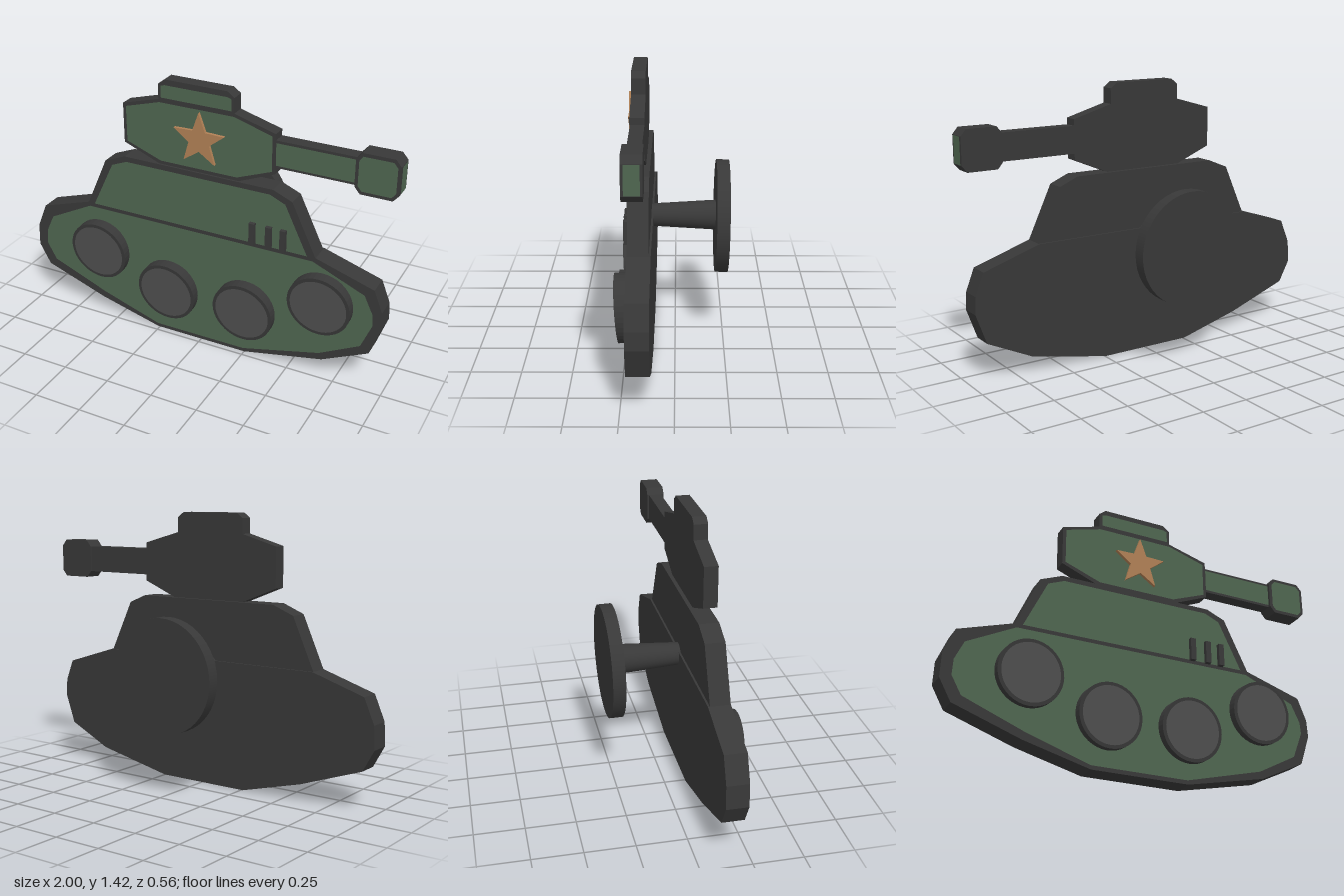
import * as THREE from 'three';

const material = (color) => new THREE.MeshStandardMaterial({ color, flatShading: true });
const green = material(0x4f6650);
const dark = material(0x383838);
const grey = material(0x505050);
const tan = material(0xb08055);

const shapeOf = (points) => new THREE.Shape(points.map(([x, y]) => new THREE.Vector2(x, y)));

export function createModel() {
  const model = new THREE.Group();

  function add(parent, name, geometry, mat, x = 0, y = 0, z = 0) {
    const mesh = new THREE.Mesh(geometry, mat);
    mesh.name = name;
    mesh.position.set(x, y, z);
    parent.add(mesh);
    return mesh;
  }

  // Flat plate between two depths
  function plate(parent, name, points, back, front, mat) {
    const geometry = new THREE.ExtrudeGeometry(shapeOf(points), { depth: front - back, bevelEnabled: false });
    return add(parent, name, geometry, mat, 0, 0, back);
  }

  // Dark plate with a painted panel lying on its front
  function paintedPlate(name, outline, panel, back, front) {
    const group = new THREE.Group();
    group.name = name;
    plate(group, name + 'Body', outline, back, front, dark);
    add(group, name + 'Panel', new THREE.ShapeGeometry(shapeOf(panel)), green, 0, 0, front + 0.002);
    model.add(group);
    return group;
  }

  paintedPlate('lowerHull',
    [[-1, 0.32], [-0.94, 0.21], [-0.6, 0.09], [-0.26, 0], [0.25, 0], [0.675, 0.09], [0.915, 0.205],
      [0.97, 0.36], [0.965, 0.45], [0.92, 0.565], [0.62, 0.66], [-0.66, 0.66], [-0.94, 0.57], [-0.995, 0.44]],
    [[-0.945, 0.34], [-0.895, 0.25], [-0.58, 0.125], [-0.26, 0.02], [0.245, 0.02], [0.66, 0.125], [0.87, 0.235],
      [0.925, 0.37], [0.92, 0.43], [0.875, 0.525], [0.605, 0.64], [-0.65, 0.64], [-0.895, 0.515], [-0.94, 0.42]],
    0.11, 0.22);

  paintedPlate('upperHull',
    [[-0.66, 0.655], [0.62, 0.655], [0.49, 0.93], [0.39, 0.972], [-0.425, 0.972], [-0.54, 0.925]],
    [[-0.62, 0.66], [0.575, 0.66], [0.455, 0.91], [0.375, 0.945], [-0.415, 0.945], [-0.5, 0.91]],
    0.12, 0.22);

  paintedPlate('turret',
    [[-0.425, 1.05], [-0.225, 0.97], [0.2, 0.97], [0.393, 1.05], [0.393, 1.255], [0.18, 1.315],
      [-0.225, 1.315], [-0.425, 1.258]],
    [[-0.408, 1.06], [-0.22, 0.99], [0.195, 0.99], [0.377, 1.06], [0.377, 1.24], [0.18, 1.3],
      [-0.22, 1.3], [-0.408, 1.245]],
    0.14, 0.21);

  paintedPlate('hatch',
    [[-0.225, 1.31], [0.18, 1.31], [0.18, 1.393], [0.143, 1.42], [-0.19, 1.42], [-0.225, 1.393]],
    [[-0.21, 1.325], [0.165, 1.325], [0.165, 1.385], [0.145, 1.392], [-0.19, 1.392], [-0.21, 1.385]],
    0.14, 0.21);

  paintedPlate('barrel',
    [[0.39, 1.083], [0.79, 1.083], [0.79, 1.222], [0.39, 1.222]],
    [[0.395, 1.095], [0.787, 1.095], [0.787, 1.21], [0.395, 1.21]],
    0.14, 0.207);

  const muzzle = paintedPlate('muzzle',
    [[0.787, 1.083], [0.815, 1.05], [0.97, 1.05], [0.998, 1.083], [0.998, 1.222], [0.97, 1.255],
      [0.815, 1.255], [0.787, 1.222]],
    [[0.803, 1.09], [0.822, 1.066], [0.963, 1.066], [0.983, 1.09], [0.983, 1.215], [0.963, 1.239],
      [0.822, 1.239], [0.803, 1.215]],
    0.13, 0.223);
  add(muzzle, 'muzzleEnd', new THREE.PlaneGeometry(0.07, 0.135), green, 1, 1.153, 0.176).rotation.y = Math.PI / 2;

  // Five-pointed badge on the turret
  const star = [];
  for (let i = 0; i < 10; i++) {
    const angle = Math.PI / 2 + i * Math.PI / 5;
    const radius = i % 2 ? 0.058 : 0.142;
    star.push([Math.cos(angle) * radius, 1.148 + Math.sin(angle) * radius]);
  }
  plate(model, 'star', star, 0.2, 0.228, tan);

  // Road wheels, leaning slightly forward at the top
  [[-0.585, 0.405], [-0.18, 0.265], [0.255, 0.265], [0.66, 0.423]].forEach(([x, y], i) => {
    const wheel = new THREE.Group();
    wheel.name = 'wheel' + (i + 1);
    add(wheel, 'tyre', new THREE.CylinderGeometry(0.163, 0.163, 0.055, 40).rotateX(Math.PI / 2), dark, 0, 0, -0.0275);
    add(wheel, 'wheelFace', new THREE.CircleGeometry(0.146, 40), grey, 0, 0, 0.002);
    wheel.position.set(x, y, 0.267);
    wheel.rotation.x = 0.07;
    model.add(wheel);
  });

  // Vent bars
  for (const x of [0.29, 0.377, 0.453]) {
    add(model, 'ventBar', new THREE.BoxGeometry(0.029, 0.118, 0.035), dark, x, 0.716, 0.2255);
  }

  // Stem and round base behind the plate
  const smoothDark = dark.clone();
  smoothDark.flatShading = false;
  add(model, 'stem', new THREE.CylinderGeometry(0.058, 0.078, 0.34, 32).rotateX(Math.PI / 2),
    smoothDark, -0.028, 0.63, -0.05);
  add(model, 'backDisc', new THREE.CylinderGeometry(0.291, 0.291, 0.065, 48).rotateX(Math.PI / 2),
    smoothDark, -0.028, 0.625, -0.24).rotation.x = -0.013;

  return model;
}
